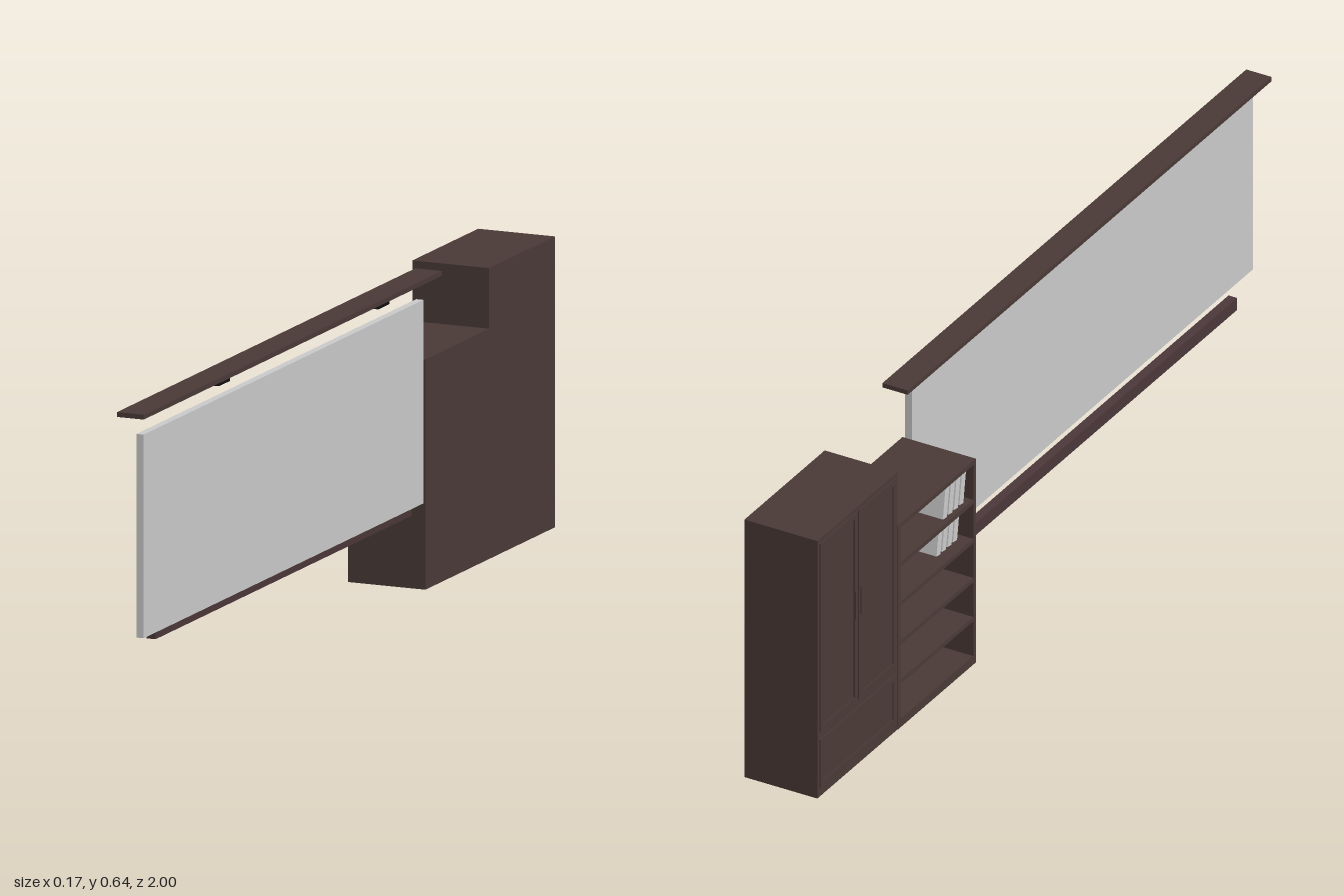
import * as THREE from 'three';

const mat = (color) => new THREE.MeshStandardMaterial({ color });

export function createModel() {
  const model = new THREE.Group();
  const wood = mat(0x4a3a37), beamWood = mat(0x4c383a), dark = mat(0x111111), grey = mat(0xcccccc);

  // Box given by its limits on each axis
  const box = (name, [x0, x1], [y0, y1], [z0, z1], material = wood, parent = model) => {
    const mesh = new THREE.Mesh(new THREE.BoxGeometry(x1 - x0, y1 - y0, z1 - z0), material);
    mesh.position.set((x0 + x1) / 2, (y0 + y1) / 2, (z0 + z1) / 2);
    mesh.name = name;
    parent.add(mesh);
    return mesh;
  };
  const group = (name) => {
    const g = new THREE.Group();
    g.name = name;
    model.add(g);
    return g;
  };

  // Wall panel with its lower beam and mount
  box('wallPanel', [0.07, 0.086], [0.18, 0.6], [-0.36, 1], grey);
  box('lowerBeam', [0.04, 0.06], [0.152, 0.18], [-0.36, 0.885], beamWood);
  box('panelMount', [0.06, 0.07], [0.18, 0.225], [-0.36, -0.3]);

  // Top rail with two small brackets underneath
  box('topRail', [0.027, 0.086], [0.631, 0.641], [-0.45, 1]);
  for (const z of [0.607, -0.168]) box('railBracket', [0.066, 0.086], [0.625, 0.631], [z - 0.027, z + 0.027], dark);

  // Tall cupboard: body, framed fronts facing -x, and handles
  const cupboard = group('cupboard');
  box('cupboardBody', [-0.084, 0.086], [0, 0.6], [-1, -0.68], wood, cupboard);
  const framedFront = (name, [y0, y1], [z0, z1]) => {
    const b = 0.013;
    const front = [-0.0865, -0.084];
    const g = new THREE.Group();
    g.name = name;
    cupboard.add(g);
    for (const [a, c] of [[y0, y0 + b], [y1 - b, y1]]) box('frameRail', front, [a, c], [z0, z1], wood, g);
    for (const [a, c] of [[z0, z0 + b], [z1 - b, z1]]) box('frameStile', front, [y0 + b, y1 - b], [a, c], wood, g);
  };
  framedFront('cupboardDoor', [0.15, 0.59], [-0.992, -0.842]);
  framedFront('cupboardDoor', [0.15, 0.59], [-0.838, -0.688]);
  framedFront('drawerFront', [0.02, 0.133], [-0.992, -0.688]);
  for (const z of [-0.851, -0.829]) box('doorHandle', [-0.0885, -0.0865], [0.345, 0.41], [z - 0.003, z + 0.003], wood, cupboard);

  // Open shelf unit with five bays
  const shelves = group('shelfUnit');
  const t = 0.01;
  box('shelfBack', [0.076, 0.086], [0, 0.475], [-0.68, -0.37], wood, shelves);
  for (const z of [-0.68, -0.37 - t]) box('shelfSide', [-0.085, 0.076], [0, 0.475], [z, z + t], wood, shelves);
  box('shelfPlinth', [-0.085, 0.076], [0, 0.02], [-0.67, -0.38], wood, shelves);
  for (let i = 1; i <= 5; i++) {
    const top = 0.02 + i * 0.091;
    box('shelfBoard', [-0.085, 0.076], [top - t, top], [-0.67, -0.38], wood, shelves);
  }

  // Leaning books in the two upper bays
  const books = group('books');
  [[0.294, 0.066, -0.06], [0.385, 0.074, -0.075]].forEach(([y, height, front]) => {
    for (let i = 0; i < 4; i++) {
      const z = -0.405 - i * 0.022;
      const book = box('book', [front, front + 0.125], [y, y + height], [z - 0.008, z + 0.008], grey, books);
      book.rotation.x = 0.15;
      book.position.y += 0.001;
    }
  });

  return model;
}
